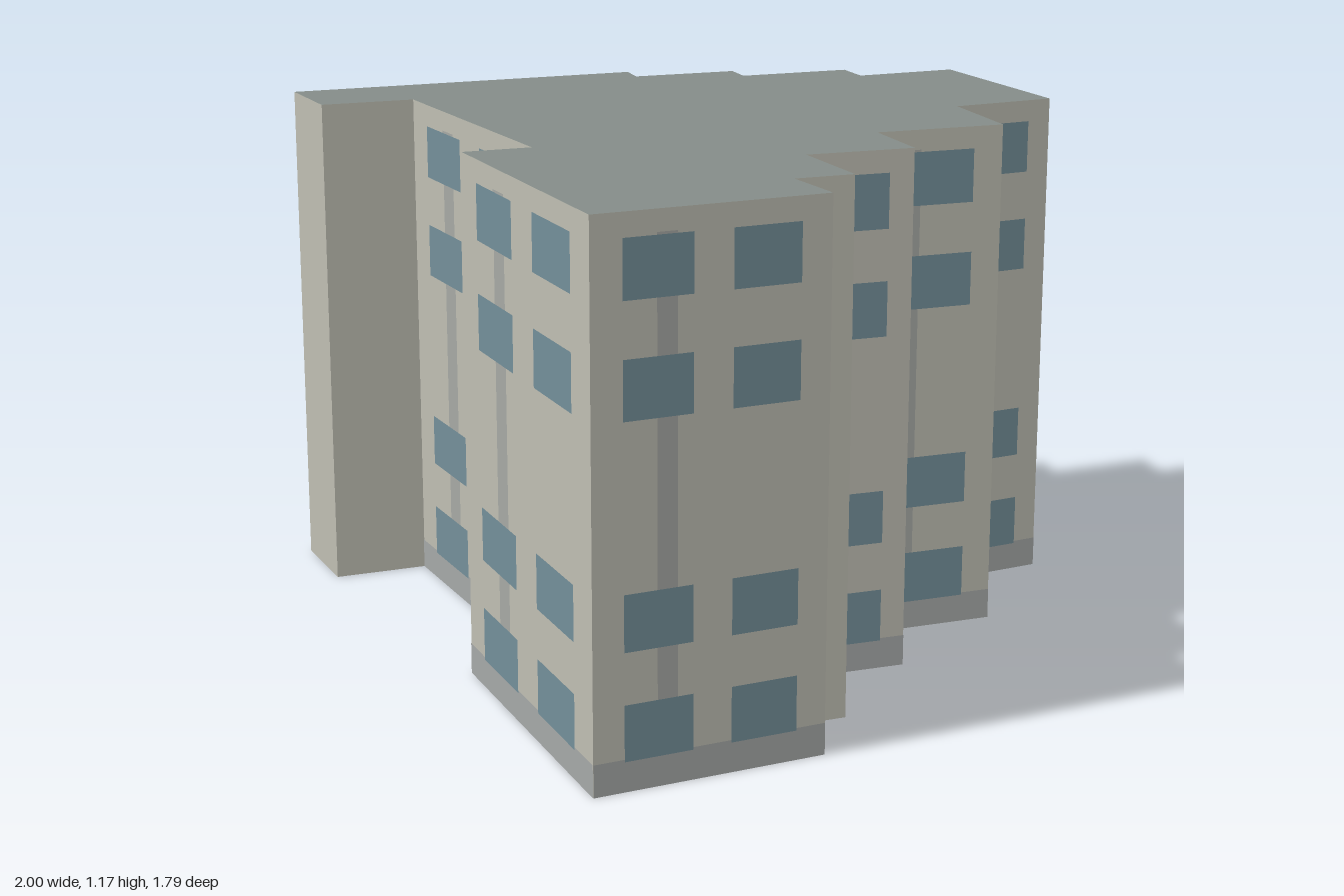
import * as THREE from 'three';
import { mergeGeometries } from 'three/addons/utils/BufferGeometryUtils.js';

const HEIGHT = 1.175;
const BASE_TOP = 0.07;
const PIPE_TOP = 1.13;
const FLOORS = [[0.065, 0.185], [0.295, 0.415], [0.765, 0.888], [1.003, 1.125]];

// Facade layouts as fractions of the wall width, left to right seen from outside
const PLAIN = null;
const WIDE = { windows: [[0.13, 0.42], [0.585, 0.87]], pipe: [0.27, 0.355] };
const NARROW = { windows: [[0.22, 0.77]], pipe: [0.26, 0.35] };
const MIDDLE = { windows: [[0.23, 0.78]], pipe: [0.38, 0.49] };

// Footprint corners [x, z] with the layout of the wall that starts there
const FOOTPRINT = [
  [-1.0, 0.685, WIDE], [-0.525, 0.89, PLAIN], [-0.46, 0.74, PLAIN], [-0.34, 0.8, PLAIN],
  [-0.23, 0.585, NARROW], [-0.01, 0.705, PLAIN], [0.095, 0.525, NARROW], [0.37, 0.67, MIDDLE],
  [0.515, 0.44, NARROW], [0.76, 0.535, WIDE], [1.0, 0.07, MIDDLE], [0.76, -0.035, PLAIN],
  [0.815, -0.13, MIDDLE], [0.56, -0.255, PLAIN], [0.605, -0.33, MIDDLE], [0.37, -0.45, PLAIN],
  [0.415, -0.52, WIDE], [-0.375, -0.895, PLAIN], [-0.465, -0.69, PLAIN], [-0.265, -0.59, WIDE],
  [-0.55, 0.09, PLAIN], [-0.69, 0.02, WIDE],
];

// Upright rectangle on the wall from a to b, pushed outwards by offset
function panel(a, b, [t0, t1], [y0, y1], offset) {
  const dx = b[0] - a[0], dz = b[1] - a[1];
  const length = Math.hypot(dx, dz);
  const t = (t0 + t1) / 2;
  const geometry = new THREE.PlaneGeometry(length * (t1 - t0), y1 - y0);
  geometry.rotateY(Math.atan2(-dz, dx));
  geometry.translate(
    a[0] + dx * t - (dz / length) * offset,
    (y0 + y1) / 2,
    a[1] + dz * t + (dx / length) * offset,
  );
  return geometry;
}

function part(name, geometry, color, side = THREE.FrontSide) {
  const mesh = new THREE.Mesh(geometry, new THREE.MeshStandardMaterial({ color, side }));
  mesh.name = name;
  return mesh;
}

export function createModel() {
  const walls = [], plinths = [], pipes = [], windows = [];

  FOOTPRINT.forEach((a, i) => {
    const b = FOOTPRINT[(i + 1) % FOOTPRINT.length];
    const layout = a[2];
    walls.push(panel(a, b, [0, 1], [0, HEIGHT], 0));
    if (!layout) return;
    plinths.push(panel(a, b, [0, 1], [0, BASE_TOP], 0.001));
    pipes.push(panel(a, b, layout.pipe, [BASE_TOP, PIPE_TOP], 0.001));
    for (const span of layout.windows) {
      for (const floor of FLOORS) windows.push(panel(a, b, span, floor, 0.002));
    }
  });

  // Flat roof over the stepped footprint; the underside of the building is open
  const outline = new THREE.Shape(FOOTPRINT.map(([x, z]) => new THREE.Vector2(x, -z)));
  const roof = new THREE.ShapeGeometry(outline).rotateX(-Math.PI / 2).translate(0, HEIGHT, 0);

  const group = new THREE.Group();
  group.name = 'apartmentBlock';
  group.add(
    part('walls', mergeGeometries(walls), 0xbebdb2, THREE.DoubleSide),
    part('roof', roof, 0x848c88, THREE.DoubleSide),
    part('plinth', mergeGeometries(plinths), 0xa5a8a7),
    part('drainpipes', mergeGeometries(pipes), 0xa6a8a4),
    part('windows', mergeGeometries(windows), 0x738f99),
  );
  return group;
}
